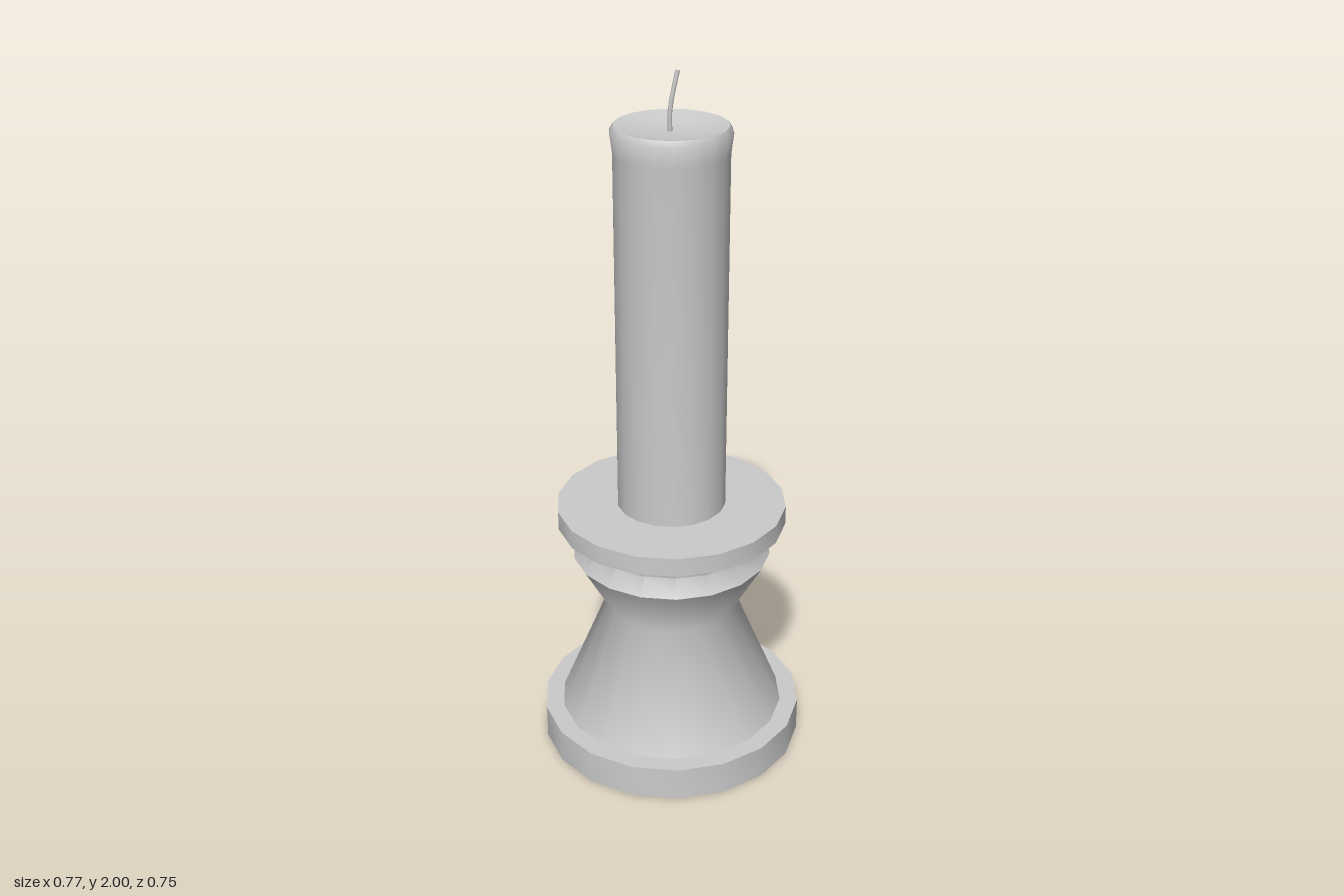
import * as THREE from 'three';
import { toCreasedNormals } from 'three/addons/utils/BufferGeometryUtils.js';

const SIDES = 18;
const material = new THREE.MeshStandardMaterial({ color: 0xcccccc });

// Turned part from [radius, height] pairs, listed bottom to top
function turned(name, profile) {
  const points = profile.map(([r, y]) => new THREE.Vector2(r, y));
  const lathe = new THREE.LatheGeometry(points, SIDES, Math.PI / 2);
  const mesh = new THREE.Mesh(toCreasedNormals(lathe, 0.96), material);
  mesh.name = name;
  return mesh;
}

export function createModel() {
  const group = new THREE.Group();
  group.name = 'candleInHolder';

  // Holder: base disc, waisted stem with collar, drip plate
  group.add(turned('holder', [
    [0, 0], [0.383, 0], [0.383, 0.1], [0.33, 0.1],
    [0.19, 0.44], [0.286, 0.61], [0.257, 0.66], [0.278, 0.71],
    [0.328, 0.71], [0.328, 0.765], [0, 0.765],
  ]));

  // Candle with a flared, bevelled lip and a shallow melted hollow
  group.add(turned('candle', [
    [0.155, 0.76], [0.155, 1.79], [0.162, 1.845], [0.152, 1.862],
    [0.08, 1.845], [0, 1.845],
  ]));

  // Bent wick with a closed tip
  const path = new THREE.CatmullRomCurve3([
    new THREE.Vector3(-0.004, 1.84, 0),
    new THREE.Vector3(-0.004, 1.9, 0),
    new THREE.Vector3(0.006, 1.95, 0),
    new THREE.Vector3(0.019, 1.999, 0),
  ]);
  const wick = new THREE.Mesh(new THREE.TubeGeometry(path, 6, 0.006, 6), material);
  wick.name = 'wick';
  const tip = new THREE.Mesh(new THREE.CircleGeometry(0.006, 6), material);
  tip.name = 'wickTip';
  tip.position.copy(path.getPoint(1));
  tip.lookAt(path.getPoint(1).add(path.getTangent(1)));
  group.add(wick, tip);

  return group;
}
